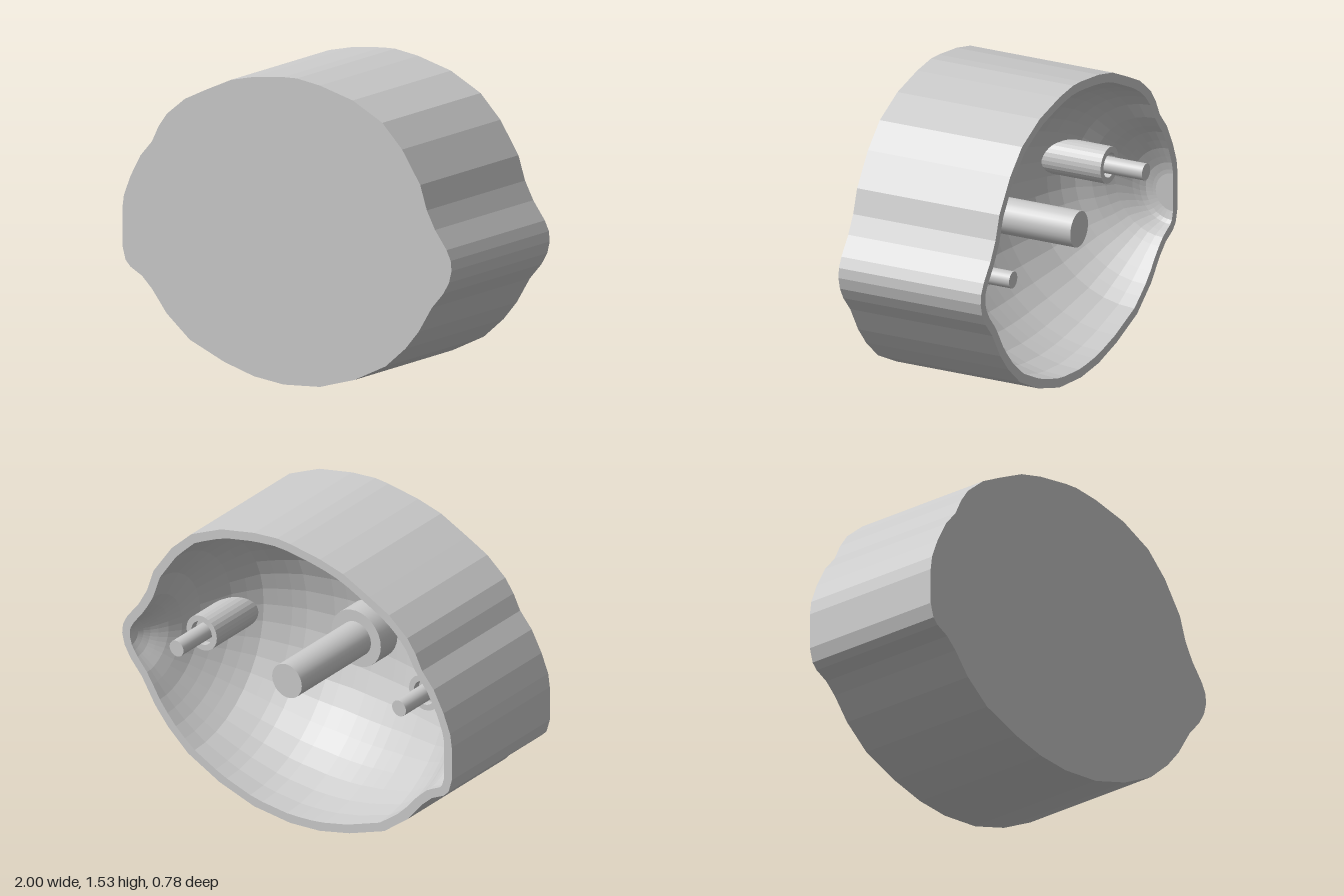
import * as THREE from 'three';

const BACK = -0.39, FRONT = 0.39, WALL = 0.045;

// Outer outline, counter-clockwise from the bottom
const outline = [
  [-0.02, 0], [0.2, 0.02], [0.41, 0.085], [0.6, 0.18], [0.72, 0.285], [0.8, 0.38], [0.88, 0.51],
  [0.95, 0.59], [0.985, 0.65], [1, 0.71], [0.995, 0.76], [0.97, 0.81], [0.9, 0.9], [0.85, 0.99],
  [0.81, 1.11], [0.7, 1.27], [0.58, 1.385], [0.4, 1.47], [0.2, 1.515], [0.06, 1.53], [-0.02, 1.525],
  [-0.2, 1.5], [-0.34, 1.465], [-0.5, 1.39], [-0.62, 1.33], [-0.73, 1.24], [-0.78, 1.17],
  [-0.82, 1.09], [-0.89, 1.01], [-0.95, 0.9], [-0.99, 0.8], [-1, 0.73], [-1, 0.55], [-0.98, 0.48],
  [-0.95, 0.45], [-0.88, 0.415], [-0.82, 0.36], [-0.73, 0.25], [-0.59, 0.14], [-0.38, 0.06], [-0.2, 0.015],
].map(([x, y]) => new THREE.Vector2(x, y));

// Outline moved inward by the wall thickness
function inset(points, d) {
  const n = points.length;
  return points.map((p, i) => {
    const t = points[(i + 1) % n].clone().sub(points[(i + n - 1) % n]).normalize();
    return new THREE.Vector2(p.x - t.y * d, p.y + t.x * d);
  });
}

// Lowest and highest y of a closed polygon at a given x
function span(points, x) {
  let lo = Infinity, hi = -Infinity;
  points.forEach((a, i) => {
    const b = points[(i + 1) % points.length];
    if (a.x === b.x || (a.x - x) * (b.x - x) > 0) return;
    const y = a.y + (b.y - a.y) * (x - a.x) / (b.x - a.x);
    lo = Math.min(lo, y);
    hi = Math.max(hi, y);
  });
  return { x, mid: (lo + hi) / 2, half: (hi - lo) / 2 };
}

function buildGeometry(positions, index) {
  const g = new THREE.BufferGeometry();
  g.setAttribute('position', new THREE.Float32BufferAttribute(positions, 3));
  g.setIndex(index);
  g.computeVertexNormals();
  return g;
}

// Side wall joining the two outlines
function wallGeometry() {
  const pos = [], idx = [], n = outline.length;
  outline.forEach((p, i) => {
    pos.push(p.x, p.y, FRONT, p.x, p.y, BACK);
    const a = 2 * i, b = 2 * ((i + 1) % n);
    idx.push(a, a + 1, b + 1, a, b + 1, b);
  });
  return buildGeometry(pos, idx);
}

// Cavity: half-round sections strung along x
function cavityGeometry(stations) {
  const ends = [{ ...stations[0], half: 0 }, { ...stations.at(-1), half: 0 }];
  const rows = [ends[0], ...stations, ends[1]];
  const pos = [], idx = [], M = 20;
  rows.forEach(({ x, mid, half }, i) => {
    for (let j = 0; j <= M; j++) {
      const a = Math.PI * j / M;
      pos.push(x, mid + half * Math.cos(a), BACK + 0.97 * half * Math.sin(a));
      if (i < rows.length - 1 && j < M) {
        const p = i * (M + 1) + j, q = p + M + 1;
        idx.push(p, q, q + 1, p, q + 1, p + 1);
      }
    }
  });
  return buildGeometry(pos, idx);
}

export function createModel() {
  const group = new THREE.Group();
  const flat = new THREE.MeshStandardMaterial({ color: 0xcccccc, flatShading: true });
  const smooth = new THREE.MeshStandardMaterial({ color: 0xcccccc });
  const thin = new THREE.MeshStandardMaterial({ color: 0xcccccc, flatShading: true, side: THREE.DoubleSide });
  const add = (name, geometry, material, x = 0, y = 0, z = 0) => {
    const mesh = new THREE.Mesh(geometry, material);
    mesh.name = name;
    mesh.position.set(x, y, z);
    group.add(mesh);
  };

  // Stations across the cavity, closer together at the tips
  const inner = inset(outline, WALL);
  const xs = inner.map(p => p.x);
  const x0 = Math.min(...xs) + 0.002, x1 = Math.max(...xs) - 0.002;
  const N = 40, stations = [];
  for (let i = 0; i <= N; i++) {
    stations.push(span(inner, (x0 + x1) / 2 - (x1 - x0) / 2 * Math.cos(Math.PI * i / N)));
  }

  // Shell
  add('outerWall', wallGeometry(), flat);
  add('frontFace', new THREE.ShapeGeometry(new THREE.Shape(outline)), flat, 0, 0, FRONT);
  const rim = new THREE.Shape(outline.map(p => new THREE.Vector2(-p.x, p.y)));
  rim.holes.push(new THREE.Path([
    ...stations.map(s => new THREE.Vector2(-s.x, s.mid + s.half)),
    ...[...stations].reverse().map(s => new THREE.Vector2(-s.x, s.mid - s.half)),
  ]));
  add('backRim', new THREE.ShapeGeometry(rim).rotateY(Math.PI), flat, 0, 0, BACK);
  add('cavity', cavityGeometry(stations), thin);

  // Pins and their bosses, pointing out of the cavity
  const pin = (name, x, y, r, from, to) =>
    add(name, new THREE.CylinderGeometry(r, r, to - from, 28).rotateX(-Math.PI / 2), smooth, x, y, (from + to) / 2);

  pin('centrePin', 0, 0.77, 0.09, BACK, 0.2);
  pin('centreBoss', 0, 0.77, 0.15, 0.16, 0.35);

  for (const [side, x, y] of [['left', 0.67, 0.73], ['right', -0.68, 0.84]]) {
    pin(side + 'Pin', x, y, 0.042, BACK, -0.1);
    const profile = [[0.092, -0.36], [0.092, 0], [0.062, 0], [0.062, -0.04], [0.04, -0.04]]
      .map(([r, h]) => new THREE.Vector2(r, h));
    add(side + 'Boss', new THREE.LatheGeometry(profile, 28).rotateX(-Math.PI / 2), flat, x, y, -0.19);
  }
  return group;
}
